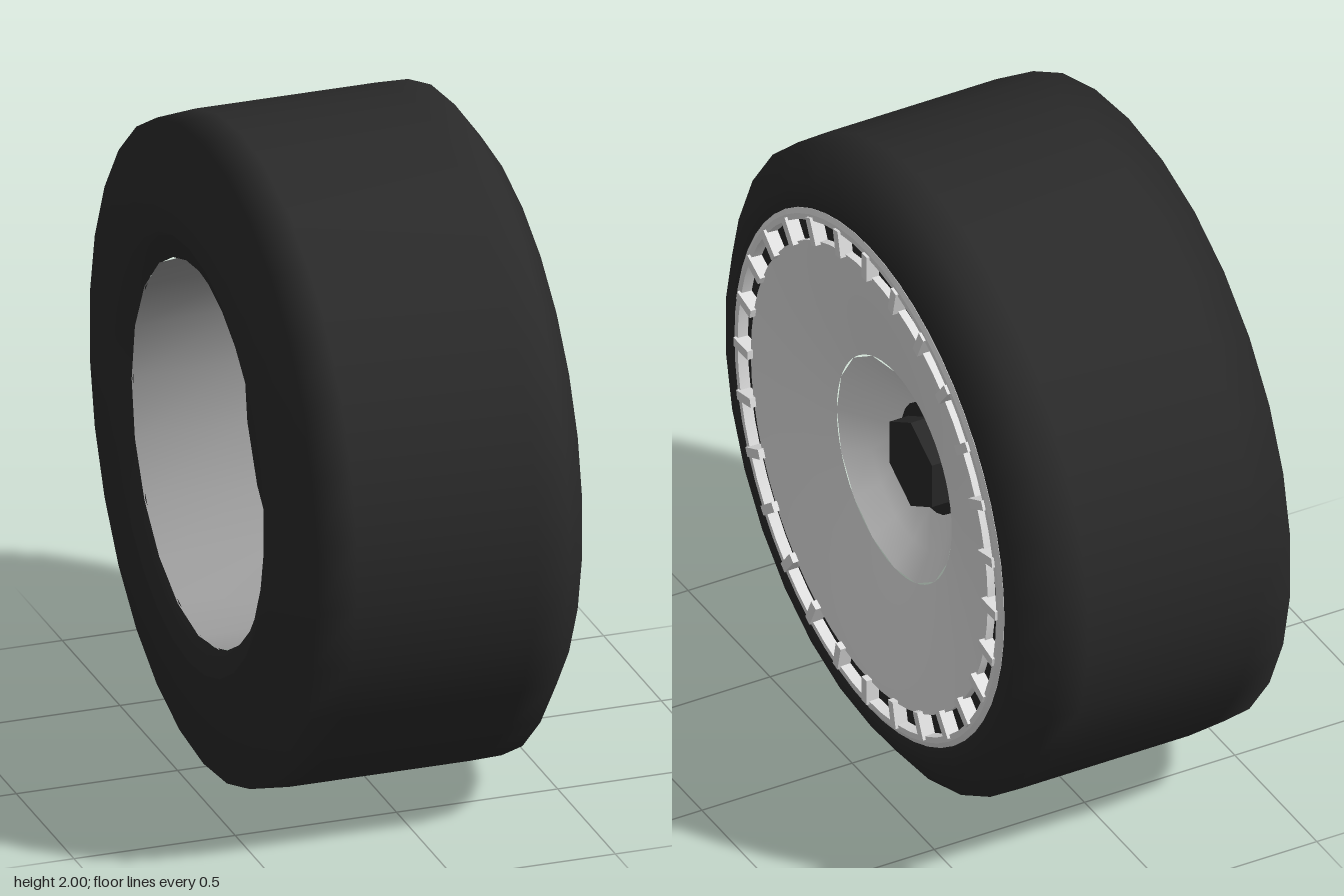
import * as THREE from 'three';
import { toCreasedNormals } from 'three/addons/utils/BufferGeometryUtils.js';

const mat = (name, color, side = THREE.FrontSide) => {
  const m = new THREE.MeshStandardMaterial({ color, side });
  m.name = name;
  return m;
};

export function createModel() {
  const rubber = mat('rubber', 0x2a2a2a);
  const silver = mat('silver', 0xe2e2e2);
  const grey = mat('greyMetal', 0x9c9c9c);
  const black = mat('black', 0x282828, THREE.DoubleSide);

  const model = new THREE.Group();
  model.name = 'wheel';
  // The wheel is turned about local y, then laid over so the axle runs along x
  const wheel = new THREE.Group();
  wheel.name = 'wheelAssembly';
  wheel.rotation.z = -Math.PI / 2;
  wheel.position.y = 0.996;
  model.add(wheel);

  const add = (name, geometry, material, y = 0) => {
    const mesh = new THREE.Mesh(geometry, material);
    mesh.name = name;
    mesh.position.y = y;
    wheel.add(mesh);
    return mesh;
  };
  // Profile points are [position along axle, radius]
  const lathe = (profile, segments) =>
    new THREE.LatheGeometry(profile.map(([x, r]) => new THREE.Vector2(r, x)), segments, Math.PI / 2);
  const smooth = (name, profile, material, segments) => add(name, lathe(profile, segments), material);
  const creased = (name, profile, material, segments) =>
    add(name, toCreasedNormals(lathe(profile, segments), 0.45), material);

  // Tyre: smooth slick tread, chamfered outer shoulder, bulged inner sidewall
  smooth('tyre', [
    [-0.465, 0.66], [-0.42, 0.99], [-0.3, 1.0], [0.26, 1.0], [0.36, 0.997],
    [0.44, 0.885], [0.442, 0.82], [0.4, 0.8],
  ], rubber, 30);
  smooth('innerBead', [[-0.43, 0.58], [-0.45, 0.61], [-0.465, 0.66]], rubber, 30);

  // Barrel open at the back, closed by a dark inner plate
  creased('barrel', [[-0.06, 0.6], [-0.435, 0.58]], grey, 20);
  smooth('innerPlate', [[-0.08, 0.62], [-0.08, 0.001]], black, 30);

  // Dark backing just behind the vents
  smooth('ventBacking', [[0.418, 0.81], [0.418, 0.7]], black, 56);

  // Dished cover with a deeper bowl round the hub
  smooth('dishCover', [
    [0.443, 0.722], [0.432, 0.66], [0.4, 0.5], [0.36, 0.35],
  ], silver, 56);
  smooth('dishBowl', [[0.36, 0.35], [0.3, 0.27], [0.235, 0.17], [0.225, 0.1]], silver, 16);
  creased('dishEdge', [[0.4, 0.722], [0.443, 0.722]], silver, 56);

  // Outer rim ring
  creased('rimRing', [
    [0.4, 0.825], [0.443, 0.822], [0.451, 0.806], [0.451, 0.788], [0.4, 0.785],
  ], silver, 56);

  // Short vent spokes between cover and ring, standing slightly proud
  const spokes = new THREE.Group();
  spokes.name = 'ventSpokes';
  wheel.add(spokes);
  const spokeGeo = new THREE.BoxGeometry(0.085, 0.05, 0.03);
  const count = 28;
  for (let i = 0; i < count; i++) {
    const a = (i / count) * Math.PI * 2;
    const spoke = new THREE.Mesh(spokeGeo, silver);
    spoke.name = 'ventSpoke';
    spoke.position.set(Math.cos(a) * 0.755, 0.435, -Math.sin(a) * 0.755);
    spoke.rotation.y = a;
    spokes.add(spoke);
  }

  // Hub disc and hexagonal centre nut
  add('hubDisc', new THREE.CylinderGeometry(0.172, 0.172, 0.03, 24), black, 0.228);
  const nutGeo = toCreasedNormals(new THREE.CylinderGeometry(0.148, 0.148, 0.09, 6), 0.3);
  nutGeo.rotateY(Math.PI / 2);
  add('centreNut', nutGeo, black, 0.26);

  return model;
}
